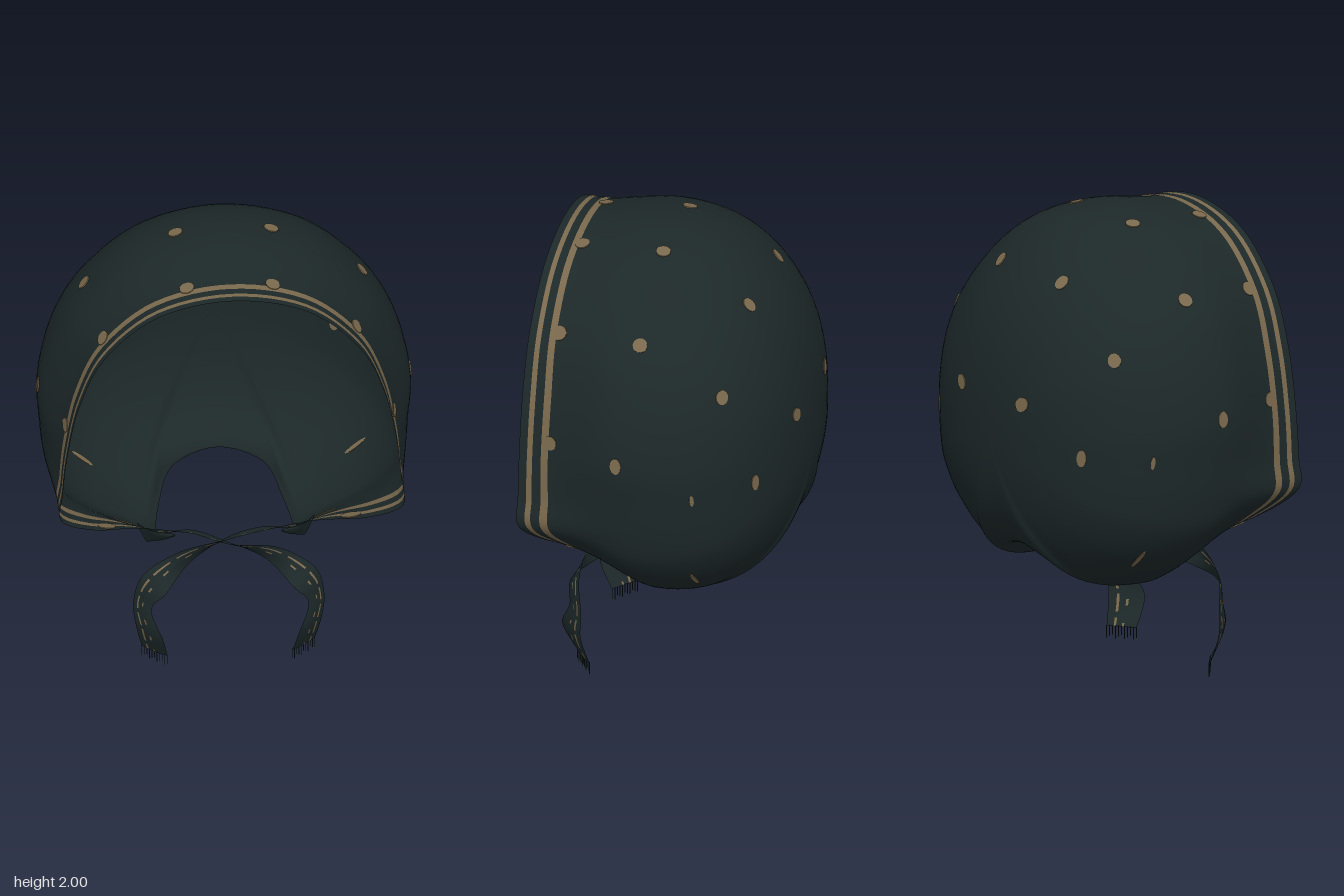
import * as THREE from 'three';

const cloth = new THREE.MeshStandardMaterial({ name: 'dark cloth', color: 0x1d2829, side: THREE.DoubleSide });
const print = new THREE.MeshStandardMaterial({ name: 'tan print', color: 0x7a694d, side: THREE.DoubleSide });

// Half of the hood, top centre round to the nape:
// widest point x, y, z and then the point on the free edge x, y, z
const half = [
  [0, 2.0, 0.14, 0, 1.96, 0.54],
  [0.35, 1.92, 0.14, 0.31, 1.89, 0.54],
  [0.59, 1.72, 0.13, 0.53, 1.69, 0.54],
  [0.715, 1.5, 0.1, 0.635, 1.45, 0.54],
  [0.775, 1.25, 0.1, 0.685, 1.2, 0.54],
  [0.768, 1.05, 0.08, 0.705, 1.0, 0.54],
  [0.75, 0.89, 0.07, 0.71, 0.86, 0.535],
  [0.71, 0.76, 0.06, 0.57, 0.73, 0.43],
  [0.6, 0.62, 0.04, 0.4, 0.64, 0.31],
  [0.45, 0.51, 0.02, 0.29, 0.59, 0.26],
  [0.34, 0.46, 0, 0.29, 0.5, 0.17],
  [0.28, 0.47, -0.1, 0.26, 0.48, -0.06],
  [0.2, 0.55, -0.25, 0.19, 0.56, -0.22],
  [0, 0.6, -0.29, 0, 0.61, -0.27],
];
const loop = half.concat(half.slice(1, -1).reverse().map(([a, b, c, d, e, f]) => [-a, b, c, -d, e, f]));
const N = loop.length, POLE_Y = 1.13, BACK = -0.545;

function catmull(row, u) {
  const i = Math.floor(u), t = u - i;
  const [a, b, c, d] = [row(i - 1), row(i), row(i + 1), row(i + 2)];
  return b.map((_, k) => 0.5 * (2 * b[k] + (c[k] - a[k]) * t
    + (2 * a[k] - 5 * b[k] + 4 * c[k] - d[k]) * t * t
    + (3 * b[k] - a[k] - 3 * c[k] + d[k]) * t * t * t));
}

// Hood surface: s 0..1 is the rounded back, 1..2 the part reaching to the edge
function hoodPoint(u, s) {
  const [ox, oy, oz, ex, ey, ez] = catmull(i => loop[((i % N) + N) % N], u);
  if (s <= 1) {
    const a = s * Math.PI / 2, p = 2 / 2.25;
    const f = Math.pow(Math.sin(a), p), g = Math.pow(Math.max(0, Math.cos(a)), p);
    return new THREE.Vector3(ox * f, POLE_Y + (oy - POLE_Y) * f, oz - (oz - BACK) * g);
  }
  // The cheeks turn in evenly, the arch above flattens towards its edge
  const t = s - 1, cheek = THREE.MathUtils.smoothstep(Math.min(u, N - u), 6, 8);
  const w = THREE.MathUtils.lerp(THREE.MathUtils.smoothstep(t, 0, 0.85), Math.pow(t, 1.5), cheek);
  return new THREE.Vector3(ox + (ex - ox) * w, oy + (ey - oy) * w, oz + (ez - oz) * t);
}

// Grid geometry; isPrint picks the cells that take the second material
function gridGeometry(cols, rows, closed, point, isPrint) {
  const pos = [], cells = [[], []], w = closed ? cols : cols + 1;
  for (let j = 0; j <= rows; j++) for (let i = 0; i < w; i++) pos.push(...point(i, j).toArray());
  for (let j = 0; j < rows; j++) for (let i = 0; i < cols; i++) {
    const a = j * w + i, b = j * w + (i + 1) % w, c = a + w, d = b + w;
    cells[isPrint(i, j) ? 1 : 0].push(a, c, b, b, c, d);
  }
  const g = new THREE.BufferGeometry();
  g.setAttribute('position', new THREE.Float32BufferAttribute(pos, 3));
  g.setIndex(cells[0].concat(cells[1]));
  g.addGroup(0, cells[0].length, 0);
  g.addGroup(cells[0].length, cells[1].length, 1);
  g.computeVertexNormals();
  return g;
}

function add(parent, name, geometry, material) {
  const m = new THREE.Mesh(geometry, material);
  m.name = name;
  parent.add(m);
  return m;
}

// Ribbon from rows of centre x, y, z and half-width vector x, y, z
function ribbonGeometry(rows, striped) {
  const across = [0, 0.2, 0.27, 0.45, 0.52, 0.75, 1], steps = (rows.length - 1) * 6;
  const row = i => rows[Math.min(rows.length - 1, Math.max(0, i))];
  return gridGeometry(across.length - 1, steps, false, (i, j) => {
    const [x, y, z, a, b, c] = catmull(row, j / 6), k = 1 - across[i] * 2;
    const curl = 0.008 * (1 - k * k);
    return new THREE.Vector3(x + a * k, y + b * k, z + c * k + curl);
  }, (i, j) => striped && ((i === 1 && j % 4 !== 3) || (i === 3 && j % 4 === 1)));
}

export function createModel() {
  const model = new THREE.Group();
  model.name = 'headscarf';

  // Hood with two printed bands along the front edge
  const fine = 6, levels = [];
  for (let i = 0; i <= 26; i++) levels.push(i / 26);
  levels.push(1.1, 1.2, 1.3, 1.4, 1.5, 1.6, 1.66, 1.714, 1.786, 1.83, 1.87, 1.922, 1.96, 2);
  const isBand = (i, j) => (levels[j] === 1.714 || levels[j] === 1.87)
    && (i < 9 * fine || i >= (N - 9) * fine);
  add(model, 'hood', gridGeometry(N * fine, levels.length - 1, true,
    (i, j) => hoodPoint(i / fine, levels[j]), isBand), [cloth, print]);

  // Printed dots, passing through the cloth so both sides show them;
  // position, then stretch around the hood and from back to front
  const dots = new THREE.Group();
  dots.name = 'dots';
  model.add(dots);
  const places = [
    [0.21, 1.79, -0.33, 0.9, 1.1], [0.56, 1.52, -0.31, 1, 0.9], [0.21, 1.29, -0.52, 0.95, 1.2],
    [0.49, 1.11, -0.4, 1.2, 0.7], [0.205, 1.97, 0.055], [0.59, 1.745, 0.05], [0.775, 1.25, 0.1, 1.15, 0.8],
    [0.73, 1.1, -0.22, 0.9, 0.3], [0.42, 0.55, 0.14, 1.7, 0.5], [0.56, 0.66, -0.18, 2, 0.3],
    [0.18, 1.94, 0.41], [0.52, 1.7, 0.41], [0.69, 1.27, 0.41], [0.5, 0.7, 0.34, 1.7, 0.7],
  ];
  const dotShape = new THREE.CylinderGeometry(0.031, 0.031, 0.007, 14);
  for (const [x, y, z, around = 1, deep = 1] of places) {
    const target = new THREE.Vector3(x, y, z);
    let best = Infinity, bu = 0, bs = 0;
    for (let u = 0; u <= 13; u += 0.05) for (let s = 0.1; s < 1.95; s += 0.02) {
      const d = hoodPoint(u, s).distanceToSquared(target);
      if (d < best) [best, bu, bs] = [d, u, s];
    }
    const p = hoodPoint(bu, bs);
    const du = hoodPoint(bu + 0.05, bs).sub(hoodPoint(bu - 0.05, bs)).normalize();
    const ds = hoodPoint(bu, bs + 0.02).sub(hoodPoint(bu, bs - 0.02));
    const n = ds.cross(du).normalize();
    for (const side of [1, -1]) {
      const dot = add(dots, 'dot', dotShape, print);
      dot.position.set(p.x * side, p.y, p.z);
      const normal = new THREE.Vector3(n.x * side, n.y, n.z);
      const along = new THREE.Vector3(du.x * side, du.y, du.z);
      const third = new THREE.Vector3().crossVectors(along, normal);
      dot.quaternion.setFromRotationMatrix(new THREE.Matrix4().makeBasis(along, normal, third));
      dot.scale.set(around, 1, deep);
    }
  }

  // Crossing ties with fringed ends, and the gathered corners they start from
  const tie = [
    [0.29, 0.565, 0.24, 0, 0.025, 0.015], [0.15, 0.595, 0.29, 0, 0.012, 0.03],
    [0, 0.575, 0.32, 0, 0.02, 0.035], [-0.18, 0.51, 0.35, -0.02, 0.045, 0.02],
    [-0.31, 0.42, 0.405, -0.045, 0.03, -0.03], [-0.362, 0.3, 0.39, -0.035, 0, -0.035],
    [-0.335, 0.18, 0.415, -0.052, 0, -0.055], [-0.31, 0.05, 0.37, -0.05, 0, -0.04],
  ];
  const corner = [
    [0.35, 0.53, 0.19, 0.02, 0.05, 0], [0.29, 0.57, 0.27, 0.025, 0.025, 0], [0.22, 0.605, 0.32, 0.004, 0.004, 0],
  ];
  for (const side of [1, -1]) {
    const flip = rows => rows.map(([x, y, z, a, b, c]) => [x * side, y, z, a * side, b, c]);
    const path = flip(tie);
    if (side < 0) { path[2][2] += 0.02; path[2][1] -= 0.01; }
    add(model, side > 0 ? 'rightTie' : 'leftTie', ribbonGeometry(path, true), [cloth, print]);
    add(model, 'gatheredCorner', ribbonGeometry(flip(corner), false), [cloth, print]);
    const [x, , z, a, , c] = path[path.length - 1];
    for (let i = 0; i < 11; i++) {
      const k = 1 - i / 5, low = i % 3 * 0.008;
      const thread = add(model, 'fringe', new THREE.BoxGeometry(0.003, 0.055 - low, 0.003), cloth);
      thread.position.set(x + a * k, (0.055 + low) / 2, z + c * k);
    }
  }
  return model;
}
